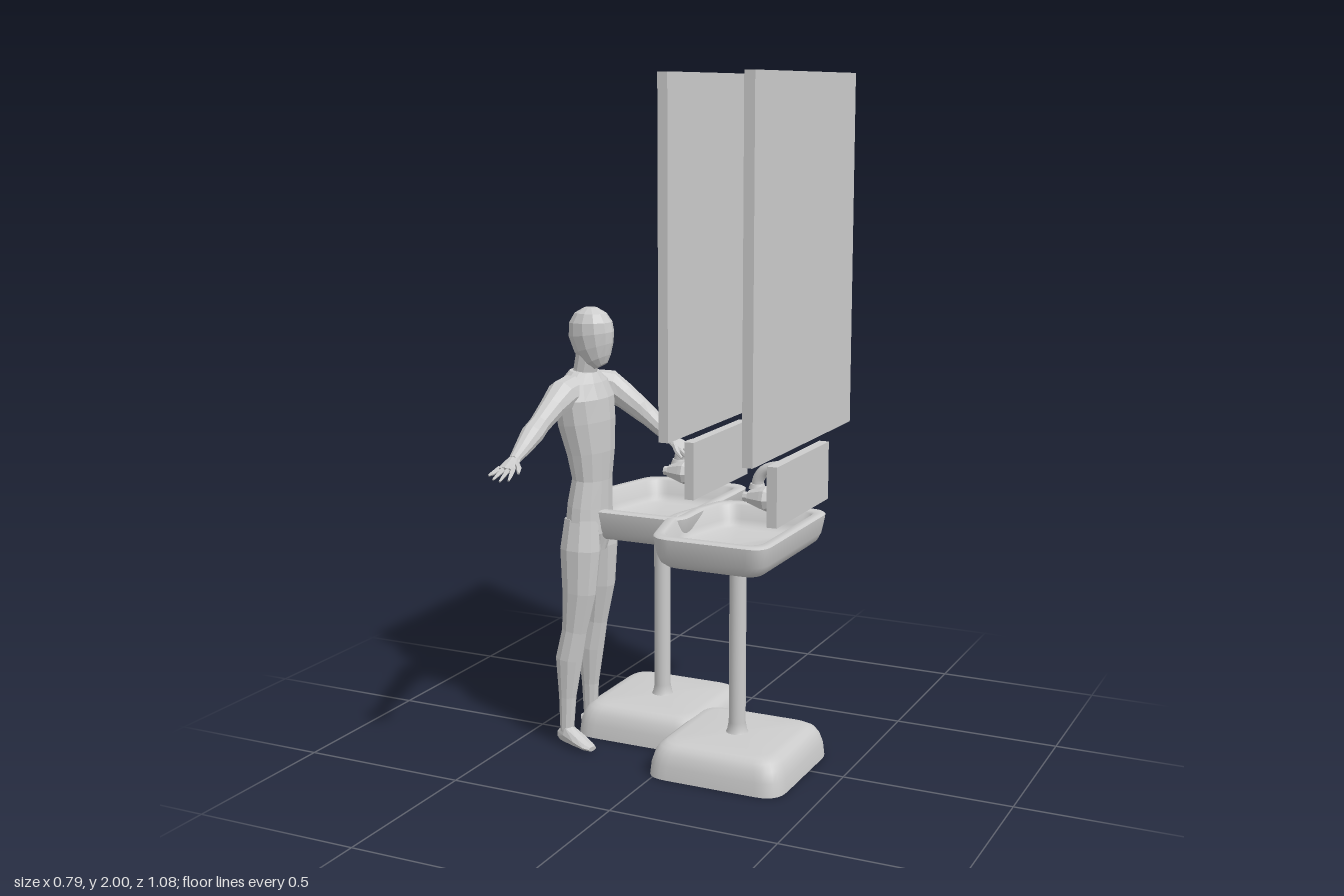
import * as THREE from 'three';
import { toCreasedNormals } from 'three/addons/utils/BufferGeometryUtils.js';

const smooth = new THREE.MeshStandardMaterial({ color: 0xcccccc });
const faceted = new THREE.MeshStandardMaterial({ color: 0xcccccc, flatShading: true });
const V = (x, y, z) => new THREE.Vector3(x, y, z);
const MID = 0.035; // z of the sink and figure centre lines

// Skin over equal-length rings of points, closed with a fan at both ends
function loft(rings) {
  const n = rings[0].length, pos = [], idx = [];
  rings.forEach(r => r.forEach(p => pos.push(p.x, p.y, p.z)));
  for (let i = 0; i < rings.length - 1; i++) {
    for (let j = 0; j < n; j++) {
      const a = i * n + j, b = i * n + (j + 1) % n;
      idx.push(a, b, b + n, a, b + n, a + n);
    }
  }
  [rings[0], rings[rings.length - 1]].forEach((r, end) => {
    const c = r.reduce((s, p) => s.add(p), V(0, 0, 0)).divideScalar(n);
    const ci = pos.length / 3, o = end ? (rings.length - 1) * n : 0;
    pos.push(c.x, c.y, c.z);
    for (let j = 0; j < n; j++) {
      const a = o + j, b = o + (j + 1) % n;
      end ? idx.push(ci, a, b) : idx.push(ci, b, a);
    }
  });
  const g = new THREE.BufferGeometry();
  g.setAttribute('position', new THREE.Float32BufferAttribute(pos, 3));
  g.setIndex(idx);
  g.computeVertexNormals();
  return g;
}

function add(group, name, geometry, material = smooth, x = 0, y = 0, z = 0) {
  const m = new THREE.Mesh(geometry, material);
  m.name = name;
  m.position.set(x, y, z);
  group.add(m);
  return m;
}

// Elliptical body part; stations are [x, y, z, radius along side, other radius]
function limb(group, name, stations, side, sides = 10) {
  const c = stations.map(s => V(s[0], s[1], s[2]));
  const rings = stations.map(([, , , a, b], i) => {
    const t = c[Math.min(i + 1, c.length - 1)].clone().sub(c[Math.max(i - 1, 0)]).normalize();
    const u = side.clone().addScaledVector(t, -side.dot(t)).normalize();
    const v = t.clone().cross(u);
    return Array.from({ length: sides }, (_, j) => {
      const q = j / sides * Math.PI * 2;
      return c[i].clone().addScaledVector(u, a * Math.cos(q)).addScaledVector(v, b * Math.sin(q));
    });
  });
  return add(group, name, loft(rings), faceted);
}

// Polygon in x, z with rounded corners
function rounded(corners, r) {
  const p = corners.map(c => new THREE.Vector2(...c));
  return p.flatMap((c, i) => {
    const toward = q => c.clone().add(q.clone().sub(c).setLength(r));
    return new THREE.QuadraticBezierCurve(
      toward(p[(i + p.length - 1) % p.length]), c, toward(p[(i + 1) % p.length])).getPoints(6);
  });
}

// Stack of outline copies at [height, inset]
function stack(outline, cx, cz, hx, hz, levels) {
  return toCreasedNormals(loft(levels.map(([y, inset]) => outline.map(p =>
    V(cx + (p.x - cx) * (1 - inset / hx), y, cz + (p.y - cz) * (1 - inset / hz))))), 0.75);
}

function makeStation() {
  const g = new THREE.Group();
  // Foot and column
  const base = rounded([[0.395, 0.245], [0.395, -0.175], [-0.025, -0.175], [-0.025, 0.245]], 0.07);
  add(g, 'base', stack(base, 0.185, MID, 0.21, 0.21,
    [[0, 0], [0.04, 0.004], [0.07, 0.013], [0.088, 0.025], [0.097, 0.04], [0.1, 0.06]]));
  const column = [[0.036, 0.095], [0.03, 0.105], [0.025, 0.13], [0.025, 0.59], [0.03, 0.62], [0.042, 0.64]];
  add(g, 'column', new THREE.LatheGeometry(column.map(c => new THREE.Vector2(...c)), 24),
    smooth, 0.18, 0, MID);
  // Basin with a pointed front: underside, rim, inner wall, floor
  const bowl = rounded([[0.365, 0.287], [0.365, -0.222], [0.022, -0.222], [-0.045, MID], [0.022, 0.287]], 0.055);
  add(g, 'basin', stack(bowl, 0.17, MID, 0.2, 0.253,
    [[0.633, 0.06], [0.638, 0.035], [0.65, 0.019], [0.672, 0.009], [0.715, 0.001], [0.726, 0],
      [0.731, 0.006], [0.731, 0.028], [0.725, 0.035], [0.685, 0.045], [0.668, 0.055], [0.662, 0.068]]));
  // Wall panel and framed mirror
  add(g, 'splashback', new THREE.BoxGeometry(0.03, 0.17, 0.395), smooth, 0.365, 0.865, 0.0375);
  add(g, 'mirrorPanel', new THREE.BoxGeometry(0.015, 1.0, 0.72), smooth, 0.3725, 1.49, MID);
  for (const s of [-1, 1]) {
    add(g, 'mirrorStile', new THREE.BoxGeometry(0.03, 1.02, 0.03), smooth, 0.365, 1.49, MID + s * 0.355);
    add(g, 'mirrorRail', new THREE.BoxGeometry(0.03, 0.03, 0.68), smooth, 0.365, 1.49 + s * 0.495, MID);
  }
  // Curved spout with a nozzle ring
  const spout = new THREE.CatmullRomCurve3([V(0.355, 0.905, MID), V(0.3, 0.905, MID),
    V(0.262, 0.892, MID), V(0.243, 0.868, MID), V(0.238, 0.845, MID)]);
  add(g, 'spout', new THREE.TubeGeometry(spout, 20, 0.017, 14));
  add(g, 'nozzle', new THREE.CylinderGeometry(0.02, 0.025, 0.015, 16), smooth, 0.238, 0.845, MID);
  // Taps, tapering away from the wall
  const tap = [[0, 0], [0.022, 0], [0.036, 0.028], [0.033, 0.04], [0.019, 0.08], [0.014, 0.08], [0.014, 0.095], [0, 0.095]];
  for (const s of [-1, 1]) {
    const m = add(g, 'tap', new THREE.LatheGeometry(tap.map(p => new THREE.Vector2(...p)), 8),
      faceted, 0.351, 0.845, MID + s * 0.1375);
    m.rotation.z = Math.PI / 2;
  }
  return g;
}

// Palm, four fingers and a thumb; spread points to the thumb side
function makeHand(group, wrist, dir, spread) {
  dir.normalize();
  const at = (d, s) => wrist.clone().addScaledVector(dir, d).addScaledVector(spread, s);
  const line = (name, rows) => limb(group, name,
    rows.map(([d, s, a, b]) => [...at(d, s).toArray(), a, b]), spread, name === 'palm' ? 8 : 6);
  line('palm', [[-0.01, 0, 0.016, 0.013], [0.02, 0, 0.025, 0.012], [0.052, 0, 0.027, 0.009]]);
  for (let i = 0; i < 4; i++) {
    const s = (i - 1.5) * 0.014, len = [0.085, 0.103, 0.108, 0.1][i];
    line('finger', [[0.045, s, 0.007, 0.008], [0.075, s * 1.4, 0.006, 0.006], [len, s * 1.7, 0.003, 0.003]]);
  }
  line('thumb', [[0.012, 0.012, 0.01, 0.01], [0.035, 0.034, 0.008, 0.008], [0.06, 0.046, 0.004, 0.004]]);
}

function makeFigure() {
  const g = new THREE.Group(), X = V(1, 0, 0), Z = V(0, 0, 1);
  const upright = rows => rows.map(([x, y, a, b]) => [x, y, MID, a, b]);
  // Trunk, neck and head
  limb(g, 'torso', upright([[-0.305, 0.6, 0.05, 0.05], [-0.307, 0.66, 0.066, 0.094], [-0.303, 0.74, 0.062, 0.088],
    [-0.295, 0.82, 0.055, 0.077], [-0.299, 0.9, 0.067, 0.09], [-0.312, 0.99, 0.08, 0.108],
    [-0.318, 1.06, 0.08, 0.116], [-0.32, 1.11, 0.062, 0.095], [-0.318, 1.14, 0.042, 0.05]]), X, 14);
  limb(g, 'neck', upright([[-0.325, 1.1, 0.044, 0.042], [-0.315, 1.14, 0.036, 0.034], [-0.302, 1.2, 0.038, 0.035]]), X);
  limb(g, 'head', upright([[-0.262, 1.157, 0.022, 0.02], [-0.272, 1.175, 0.042, 0.037], [-0.285, 1.21, 0.062, 0.049],
    [-0.293, 1.25, 0.071, 0.055], [-0.295, 1.285, 0.067, 0.053], [-0.295, 1.312, 0.049, 0.04],
    [-0.295, 1.328, 0.02, 0.018]]), X, 12);
  // Legs and out-turned feet
  for (const s of [-1, 1]) {
    const z = d => MID + s * d;
    limb(g, 'leg', [[-0.307, 0.7, z(0.045), 0.055, 0.045], [-0.308, 0.61, z(0.054), 0.064, 0.053],
      [-0.31, 0.48, z(0.06), 0.054, 0.045], [-0.325, 0.36, z(0.065), 0.04, 0.034], [-0.343, 0.27, z(0.068), 0.043, 0.036],
      [-0.348, 0.15, z(0.072), 0.027, 0.025], [-0.35, 0.04, z(0.075), 0.021, 0.02]], X);
    limb(g, 'foot', [[-0.375, 0.024, z(0.07), 0.015, 0.018], [-0.345, 0.034, z(0.077), 0.024, 0.032],
      [-0.3, 0.022, z(0.09), 0.027, 0.02], [-0.265, 0.013, z(0.1), 0.025, 0.012],
      [-0.247, 0.01, z(0.105), 0.016, 0.008]], Z, 8);
  }
  // Right arm held out to the side
  limb(g, 'rightArm', [[-0.328, 1.085, 0.09, 0.05, 0.05], [-0.335, 1.078, 0.14, 0.048, 0.048],
    [-0.337, 1.05, 0.2, 0.037, 0.036], [-0.337, 1.015, 0.27, 0.03, 0.03], [-0.335, 0.995, 0.315, 0.033, 0.031],
    [-0.33, 0.965, 0.38, 0.024, 0.022], [-0.324, 0.944, 0.435, 0.016, 0.014]], X);
  makeHand(g, V(-0.324, 0.944, 0.435), V(0.03, -0.37, 1), X);
  // Left arm reaching toward the tap
  limb(g, 'leftArm', [[-0.335, 1.08, -0.055, 0.045, 0.05], [-0.305, 1.075, -0.1, 0.046, 0.048],
    [-0.255, 1.045, -0.105, 0.036, 0.039], [-0.2, 1.01, -0.1, 0.029, 0.034], [-0.165, 0.99, -0.093, 0.03, 0.03],
    [-0.12, 0.958, -0.082, 0.022, 0.024], [-0.08, 0.93, -0.073, 0.015, 0.015]], Z);
  makeHand(g, V(-0.08, 0.93, -0.073), V(1, -0.42, 0.2), V(0, -0.35, 0.94));
  return g;
}

export function createModel() {
  const model = new THREE.Group();
  model.name = 'washroomScene';
  const near = makeStation(), far = makeStation(), figure = makeFigure();
  near.name = 'leftSinkStation';
  far.name = 'rightSinkStation';
  far.position.set(-0.345, 0, -0.207);
  figure.name = 'figure';
  model.add(near, far, figure);
  return model;
}
